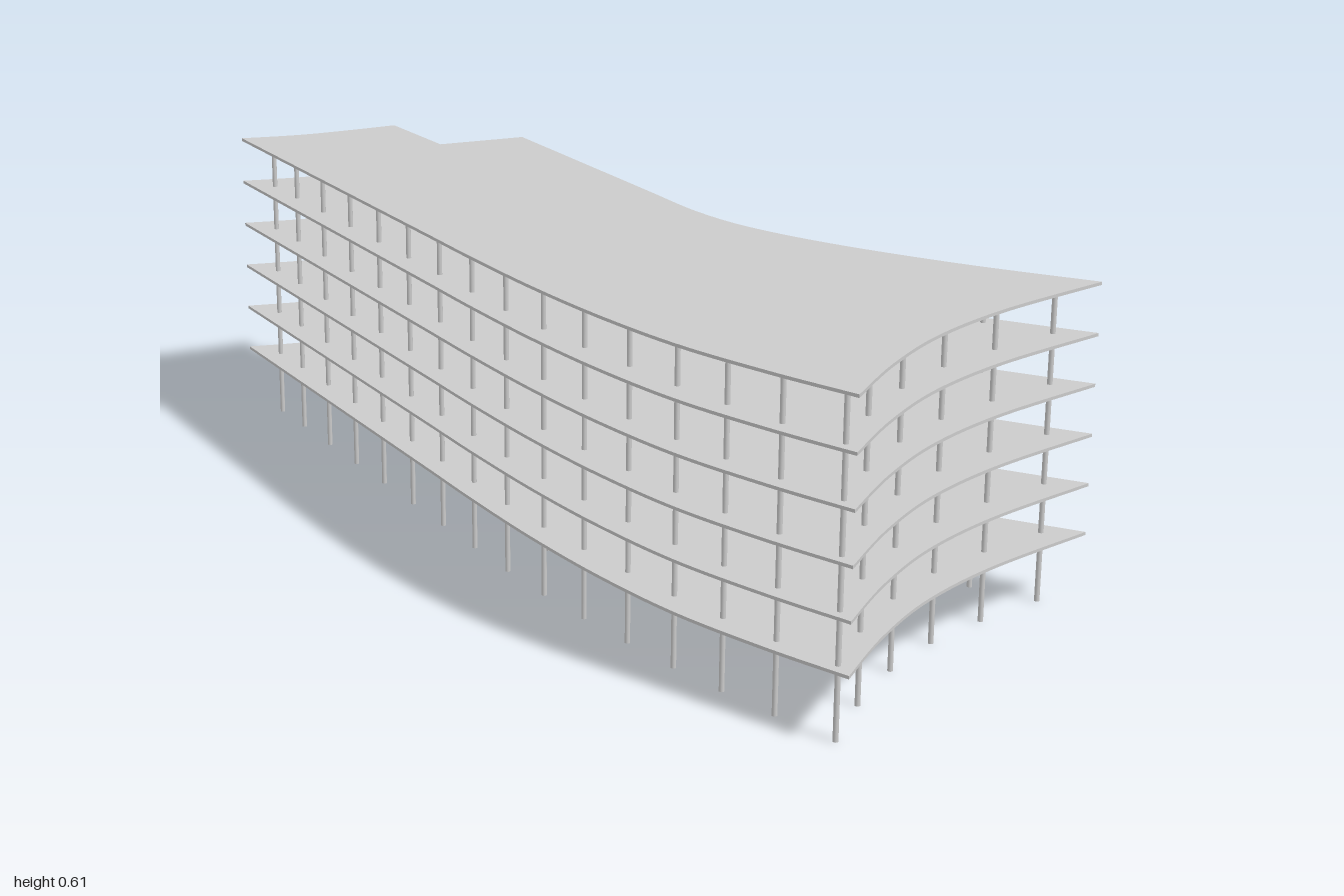
import * as THREE from 'three';

const FLOORS = 6, FIRST = 0.135, STEP = 0.095, SLAB = 0.006;
const ROOF = FIRST + (FLOORS - 1) * STEP;

// Floor outline in plan, points given as [x, z]
function floorShape() {
  const p = (a) => new THREE.Vector2(a[0], -a[1]);
  const s = new THREE.Shape();
  const line = (x, z) => s.lineTo(x, -z);
  const curve = (...pts) => s.splineThru(pts.map(p));
  s.moveTo(-1, 0.185);
  line(-0.15, 0.21);
  curve([0, 0.28], [0.2, 0.367], [0.4, 0.442], [0.6, 0.5], [0.8, 0.533], [0.97, 0.55]); // front
  curve([0.935, 0.38], [0.92, 0.2], [0.94, 0], [1, -0.25]); // concave end
  curve([0.75, -0.209], [0.5, -0.19], [0.3, -0.2], [0.15, -0.24], [0, -0.31]); // back
  line(-0.515, -0.555);
  line(-0.615, -0.395); // notch
  line(-0.815, -0.48);
  curve([-0.86, -0.39], [-0.92, -0.285], [-1, -0.185]); // narrow end
  return s;
}

export function createModel() {
  const model = new THREE.Group();
  const material = new THREE.MeshStandardMaterial({ color: 0xcccccc });

  // Stacked floor plates
  const slabGeo = new THREE.ExtrudeGeometry(floorShape(), { depth: SLAB, bevelEnabled: false, curveSegments: 24 });
  slabGeo.rotateX(-Math.PI / 2);
  for (let i = 0; i < FLOORS; i++) {
    const slab = new THREE.Mesh(slabGeo, material);
    slab.name = i === FLOORS - 1 ? 'roofSlab' : 'floorSlab' + (i + 1);
    slab.position.y = FIRST + i * STEP - SLAB;
    model.add(slab);
  }

  // Slender full-height columns
  const height = ROOF - SLAB / 2;
  const columnGeo = new THREE.CylinderGeometry(0.005, 0.005, height, 10);
  function columnRow(name, points) {
    const row = new THREE.Group();
    row.name = name;
    for (const [x, z] of points) {
      const column = new THREE.Mesh(columnGeo, material);
      column.name = 'column';
      column.position.set(x, height / 2, z);
      row.add(column);
    }
    model.add(row);
  }
  // Evenly spaced points between two ends
  const spread = (a, b, n) => Array.from({ length: n }, (_, i) => {
    const t = i / (n - 1);
    return [a[0] + (b[0] - a[0]) * t, a[1] + (b[1] - a[1]) * t];
  });

  columnRow('frontColumns', [
    [-0.91, -0.188], ...spread([-0.803, -0.14], [0.062, 0.26], 8),
    [0.187, 0.313], [0.31, 0.358], [0.435, 0.4], [0.56, 0.44], [0.68, 0.472], [0.803, 0.5], [0.935, 0.525],
  ]);
  columnRow('concaveEndColumns', [[0.895, 0.385], [0.87, 0.23], [0.87, 0.085], [0.895, -0.055], [0.935, -0.2]]);
  columnRow('backColumns', [
    [0.803, -0.187], [0.68, -0.16], [0.56, -0.15], [0.435, -0.148], [0.31, -0.152], [0.187, -0.18], [0.062, -0.235],
    ...spread([-0.083, -0.262], [-0.505, -0.48], 9),
  ]);
  columnRow('narrowEndColumns', [[-0.76, -0.415], [-0.803, -0.33], [-0.62, -0.345]]);

  // Interior rows follow the bend of the plan
  columnRow('innerFrontColumns', [
    ...spread([-0.46, -0.11], [0.062, 0.13], 5), [0.187, 0.16], [0.31, 0.18], [0.435, 0.2],
    [0.56, 0.215], [0.68, 0.225], [0.77, 0.23],
  ]);
  columnRow('innerBackColumns', [
    ...spread([-0.565, -0.29], [-0.06, -0.055], 5), [0.062, -0.015], [0.187, 0.015], [0.31, 0.045],
    [0.435, 0.045], [0.56, 0.08], [0.68, 0.08], [0.755, 0.09],
  ]);
  return model;
}
